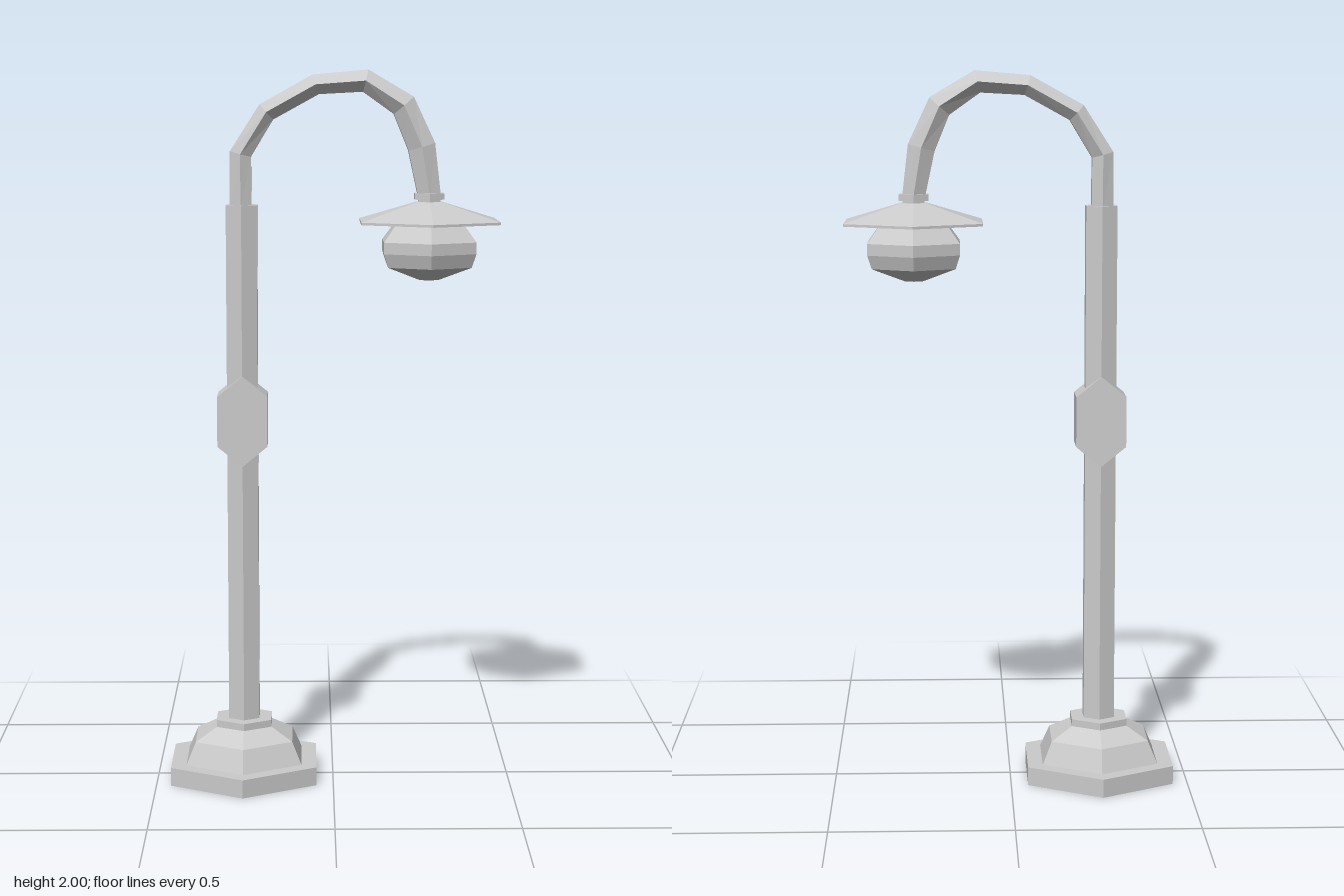
import * as THREE from 'three';

const POLE_X = -0.253;
const LAMP_X = 0.267;

const grey = (side = THREE.FrontSide) =>
  new THREE.MeshStandardMaterial({ color: 0xcccccc, flatShading: true, side });

// Six-sided turned part from a [radius, height] profile, bottom to top
function turned(name, x, profile, side) {
  const points = profile.map(([r, y]) => new THREE.Vector2(r, y));
  const mesh = new THREE.Mesh(new THREE.LatheGeometry(points, 6), grey(side));
  mesh.name = name;
  mesh.position.x = x;
  return mesh;
}

// Curved arm: hexagonal rings along a path of [x, y, half height, half width]
function archedArm(path) {
  const positions = [], index = [];
  path.forEach(([x, y, h, w], i) => {
    const a = path[Math.max(i - 1, 0)], b = path[Math.min(i + 1, path.length - 1)];
    const t = new THREE.Vector2(b[0] - a[0], b[1] - a[1]).normalize();
    for (let j = 0; j < 6; j++) {
      const angle = (j * Math.PI) / 3;
      const n = (h / Math.sin(Math.PI / 3)) * Math.sin(angle);
      positions.push(x - t.y * n, y + t.x * n, w * Math.cos(angle));
      if (i < path.length - 1) {
        const p = i * 6 + j, q = i * 6 + ((j + 1) % 6);
        index.push(p, p + 6, q, q, p + 6, q + 6);
      }
    }
  });
  const geometry = new THREE.BufferGeometry();
  geometry.setAttribute('position', new THREE.Float32BufferAttribute(positions, 3));
  geometry.setIndex(index);
  geometry.computeVertexNormals();
  const mesh = new THREE.Mesh(geometry, grey());
  mesh.name = 'archedArm';
  return mesh;
}

// Hexagonal block clasped around the pole
function poleBlock() {
  const shape = new THREE.Shape([
    [0, 0.127], [-0.07, 0.07], [-0.07, -0.07], [0, -0.127], [0.07, -0.07], [0.07, 0.07],
  ].map(([x, y]) => new THREE.Vector2(x, y)));
  const geometry = new THREE.ExtrudeGeometry(shape, { depth: 0.114, bevelEnabled: false });
  geometry.translate(POLE_X, 1.03, -0.057);
  const mesh = new THREE.Mesh(geometry, grey());
  mesh.name = 'poleBlock';
  return mesh;
}

export function createModel() {
  const group = new THREE.Group();
  group.name = 'streetLamp';

  // Hollow stepped foot, open underneath
  group.add(turned('base', POLE_X, [
    [0.237, 0], [0.237, 0.052], [0.188, 0.052], [0.158, 0.115], [0.09, 0.15],
    [0.09, 0.17], [0.045, 0.17],
  ], THREE.DoubleSide));

  // Straight pole with a flat top
  group.add(turned('pole', POLE_X, [[0.05, 0.15], [0.05, 1.63], [0, 1.63]]));
  group.add(poleBlock());

  // Arm, swelling towards the middle
  group.add(archedArm([
    [-0.255, 1.62, 0.03, 0.035],
    [-0.255, 1.77, 0.03, 0.037],
    [-0.183, 1.885, 0.028, 0.045],
    [-0.047, 1.96, 0.028, 0.05],
    [0.09, 1.97, 0.031, 0.052],
    [0.195, 1.903, 0.036, 0.05],
    [0.245, 1.79, 0.038, 0.045],
    [0.268, 1.65, 0.031, 0.035],
  ]));

  // Lamp head: collar, shade and bulb
  group.add(turned('lampCollar', LAMP_X, [
    [0.035, 1.63], [0.035, 1.645], [0.047, 1.645], [0.047, 1.662], [0, 1.662],
  ], THREE.DoubleSide));
  group.add(turned('lampShade', LAMP_X, [
    [0, 1.58], [0.22, 1.58], [0.22, 1.587], [0.04, 1.638], [0, 1.64],
  ]));
  group.add(turned('bulb', LAMP_X, [
    [0, 1.42], [0.03, 1.422], [0.133, 1.46], [0.147, 1.498], [0.147, 1.53], [0.105, 1.582],
  ]));

  return group;
}
